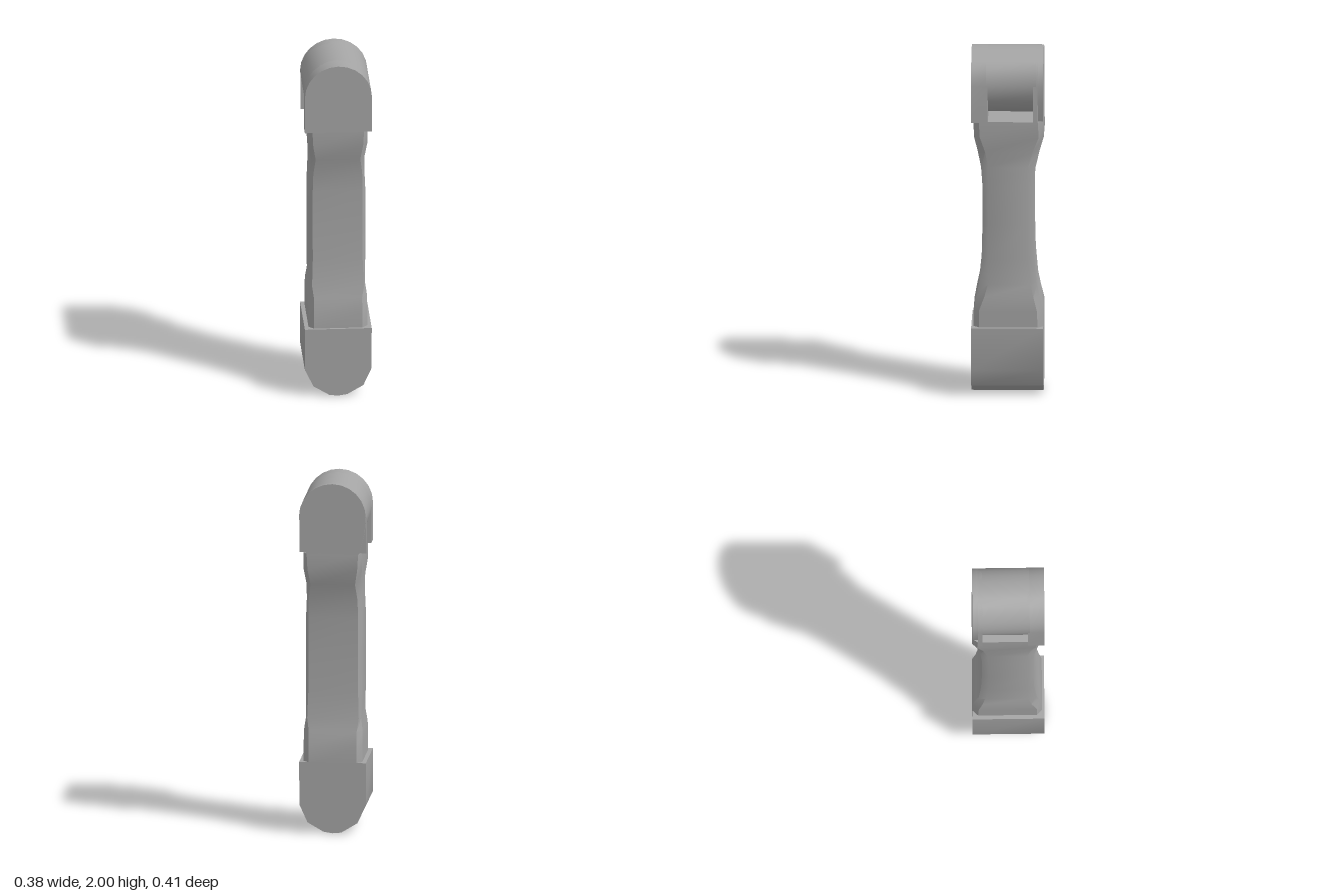
import * as THREE from 'three';
import { toCreasedNormals } from 'three/addons/utils/BufferGeometryUtils.js';

const grey = new THREE.MeshStandardMaterial({ color: 0xa4a4a4 });
grey.name = 'grey';

function addPart(group, name, geometry) {
  const mesh = new THREE.Mesh(toCreasedNormals(geometry, 0.5), grey);
  mesh.name = name;
  group.add(mesh);
}

// Extrudes an outline of [x, y] points from z0 to z1
function slab(points, z0, z1) {
  const shape = new THREE.Shape(points.map(([x, y]) => new THREE.Vector2(x, y)));
  return new THREE.ExtrudeGeometry(shape, { depth: z1 - z0, bevelEnabled: false }).translate(0, 0, z0);
}

// Points along an arc around (0, cy), counter-clockwise
function arc(cy, r, from, to, steps) {
  return Array.from({ length: steps + 1 }, (_, i) => {
    const a = from + (to - from) * i / steps;
    return [r * Math.cos(a), cy + r * Math.sin(a)];
  });
}

// Chamfered shaft lofted through stations: y, half width, front z, back z, side face front z, side face back z, flat half width
const STATIONS = [
  [0.38, 0.165, 0.19, -0.2, 0.16, -0.17, 0.135],
  [0.50, 0.165, 0.19, -0.2, 0.16, -0.165, 0.135],
  [0.58, 0.165, 0.175, -0.18, 0.13, -0.145, 0.135],
  [0.65, 0.155, 0.16, -0.165, 0.11, -0.13, 0.145],
  [0.80, 0.157, 0.145, -0.152, 0.108, -0.113, 0.14],
  [1.00, 0.157, 0.14, -0.147, 0.108, -0.11, 0.14],
  [1.22, 0.157, 0.14, -0.147, 0.108, -0.11, 0.14],
  [1.33, 0.152, 0.148, -0.157, 0.108, -0.115, 0.137],
  [1.42, 0.152, 0.167, -0.178, 0.125, -0.14, 0.125],
  [1.51, 0.165, 0.188, -0.203, 0.155, -0.175, 0.14],
  [1.60, 0.165, 0.19, -0.2, 0.16, -0.17, 0.145],
];

function shaft() {
  const pos = [], index = [];
  for (const [y, w, f, b, sf, sb, n] of STATIONS) {
    const ring = [[n, f], [w, sf], [w, sb], [n, b], [-n, b], [-w, sb], [-w, sf], [-n, f]];
    for (const [x, z] of ring) pos.push(x, y, z);
  }
  const last = (STATIONS.length - 1) * 8;
  for (let s = 0; s < last; s += 8) {
    for (let i = 0; i < 8; i++) {
      const a = s + i, b = s + (i + 1) % 8;
      index.push(a, b, b + 8, a, b + 8, a + 8);
    }
  }
  for (let i = 1; i < 7; i++) {
    index.push(0, i + 1, i);
    index.push(last, last + i, last + i + 1);
  }
  const g = new THREE.BufferGeometry();
  g.setAttribute('position', new THREE.Float32BufferAttribute(pos, 3));
  g.setIndex(index);
  g.computeVertexNormals();
  return g;
}

export function createModel() {
  const group = new THREE.Group();
  group.name = 'link';

  addPart(group, 'shaft', shaft());

  // Lower end: solid block with a rounded underside
  const lower = [[0.187, 0.405], [-0.188, 0.405], [-0.188, 0.16], [-0.14, 0.06],
    [-0.05, 0.005], [0, 0], [0.05, 0.008], [0.14, 0.06], [0.185, 0.16]];
  addPart(group, 'lowerEnd', slab(lower, -0.2, 0.203));

  // Upper end: barrel held between two arched cheeks
  const dome = arc(1.812, 0.188, 0, Math.PI, 12);
  addPart(group, 'barrel', slab(arc(1.812, 0.188, 0, Math.PI * 2, 24).slice(0, -1), -0.16, 0.12));
  addPart(group, 'frontCheek', slab([...dome, [-0.188, 1.6], [0.188, 1.6]], 0.11, 0.203));
  addPart(group, 'backCheekInner', slab([...dome, [-0.188, 1.6], [0.188, 1.6]], -0.17, -0.145));
  addPart(group, 'backCheek', slab([...dome, [-0.18, 1.72], [-0.15, 1.6], [0.15, 1.6], [0.18, 1.72]], -0.2, -0.165));

  return group;
}
